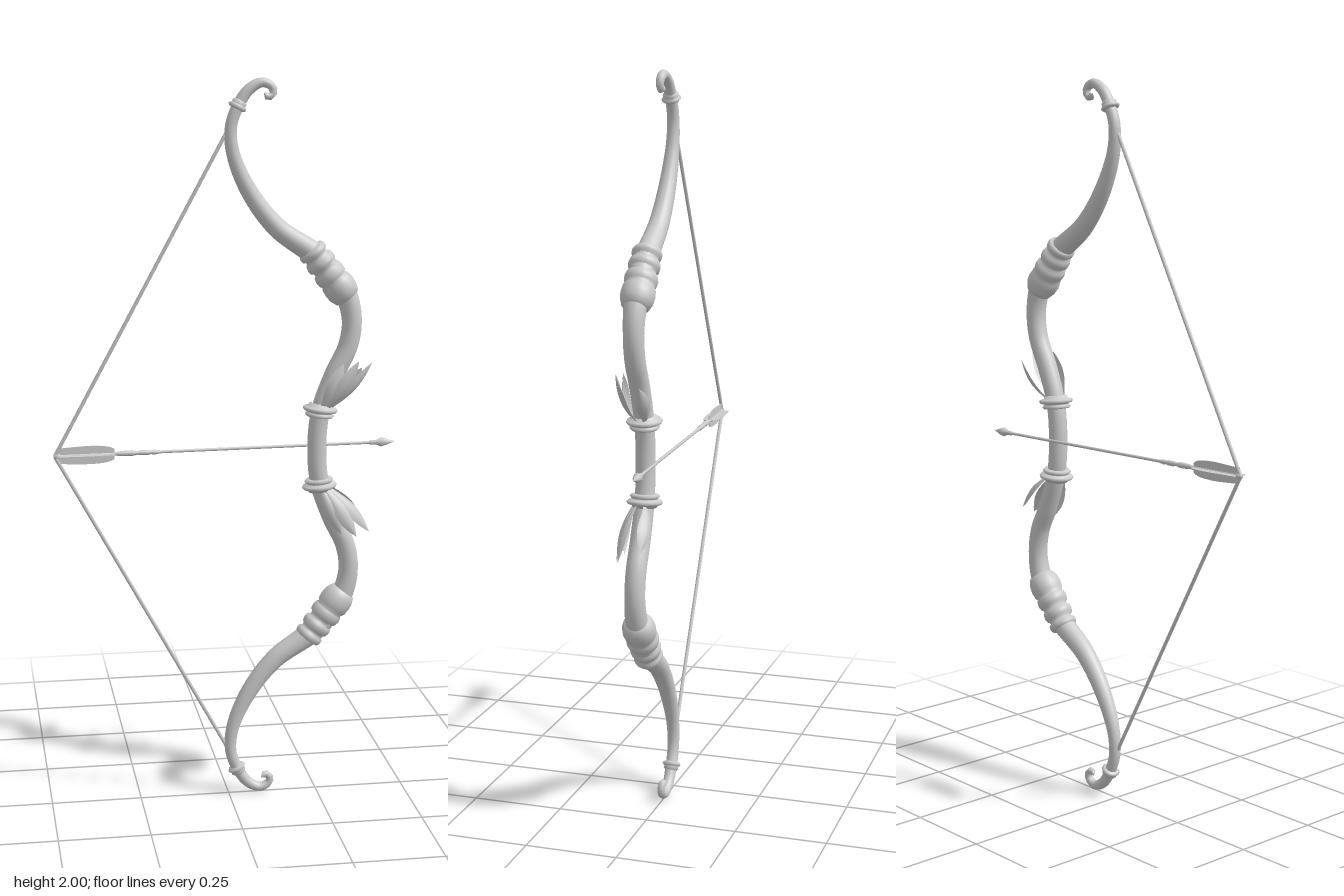
import * as THREE from 'three';

const V = (x, y, z = 0) => new THREE.Vector3(x, y, z);
const UP = V(0, 1);
const grey = new THREE.MeshStandardMaterial({ color: 0xcccccc });
const thin = new THREE.MeshStandardMaterial({ color: 0xcccccc, side: THREE.DoubleSide });

function part(parent, name, geometry, material = grey) {
  const mesh = new THREE.Mesh(geometry, material);
  mesh.name = name;
  parent.add(mesh);
  return mesh;
}

// Copy reflected in the plane y = 1, with the face winding put right again
function mirrored(geometry) {
  const g = geometry.clone().scale(1, -1, 1).translate(0, 2, 0);
  const a = g.index.array;
  for (let i = 0; i < a.length; i += 3) [a[i], a[i + 1]] = [a[i + 1], a[i]];
  g.index.needsUpdate = true;
  return g;
}

function pair(parent, name, geometry, material) {
  part(parent, 'upper' + name, geometry, material);
  part(parent, 'lower' + name, mirrored(geometry), material);
}

// Turned shape, profile [radius, distance], standing at `from` and pointing to `to`
function turned(profile, from, to, sides = 24) {
  const g = new THREE.LatheGeometry(profile.map(([r, d]) => new THREE.Vector2(r, d)), sides);
  const dir = to.clone().sub(from).normalize();
  return g.applyQuaternion(new THREE.Quaternion().setFromUnitVectors(UP, dir))
    .translate(from.x, from.y, from.z);
}

function rod(from, to, r, sides = 8) {
  const len = from.distanceTo(to);
  return turned([[0, 0], [r, 0], [r, len], [0, len]], from, to, sides);
}

// Tube whose radius changes from point to point; rows are [x, y, radius]
function taperedTube(rows, segments, sides) {
  const curve = new THREE.CatmullRomCurve3(rows.map(([x, y]) => V(x, y)));
  const g = new THREE.TubeGeometry(curve, segments, 1, sides);
  const p = g.attributes.position, v = V(0, 0);
  for (let i = 0; i < p.count; i++) {
    const u = Math.floor(i / (sides + 1)) / segments;
    const t = curve.getUtoTmapping(u) * (rows.length - 1);
    const k = Math.min(Math.floor(t), rows.length - 2);
    const r = THREE.MathUtils.lerp(rows[k][2], rows[k + 1][2], t - k);
    const c = curve.getPointAt(u);
    v.fromBufferAttribute(p, i).sub(c).multiplyScalar(r).add(c);
    p.setXYZ(i, v.x, v.y, v.z);
  }
  return g;
}

// Pointed leaf, folded along the midrib and bowed outwards
function leaf(base, tip, out, width) {
  const g = new THREE.PlaneGeometry(2, 1, 4, 10);
  const dir = tip.clone().sub(base);
  const side = dir.clone().cross(out).normalize();
  const normal = side.clone().cross(dir).normalize();
  const p = g.attributes.position;
  for (let i = 0; i < p.count; i++) {
    const u = p.getX(i), t = p.getY(i) + 0.5;
    const w = width * (0.35 * (1 - t) + Math.sin(Math.PI * Math.pow(t, 1.3)) * 0.85);
    const q = base.clone().addScaledVector(dir, t).addScaledVector(side, u * w)
      .addScaledVector(normal, 0.014 * Math.sin(Math.PI * t) - 0.4 * w * u * u);
    p.setXYZ(i, q.x, q.y, q.z);
  }
  g.computeVertexNormals();
  return g;
}

export function createModel() {
  const model = new THREE.Group();
  model.name = 'bowAndArrow';

  // Bow stave: one recurved tube with curled tips
  const half = [
    [0.245, 1.0, 0.026], [0.254, 1.1, 0.026], [0.29, 1.2, 0.027], [0.328, 1.28, 0.027],
    [0.338, 1.35, 0.027], [0.322, 1.42, 0.03], [0.285, 1.475, 0.032], [0.235, 1.53, 0.032],
    [0.13, 1.605, 0.027], [0.056, 1.7, 0.023], [0.012, 1.8, 0.018], [0.006, 1.87, 0.016],
    [0.025, 1.925, 0.016], [0.054, 1.967, 0.015], [0.09, 1.985, 0.013], [0.117, 1.971, 0.011],
    [0.115, 1.95, 0.01], [0.098, 1.95, 0.009], [0.094, 1.958, 0.001],
  ];
  const lower = half.slice(1).reverse().map(([x, y, r]) => [x, 2 - y, r]);
  part(model, 'stave', taperedTube([...lower, ...half], 220, 18));

  // Ringed joints at the bend of each limb
  const joint = [
    [0.026, 0], [0.036, 0.003], [0.043, 0.02], [0.045, 0.038], [0.043, 0.056], [0.037, 0.066],
    [0.042, 0.07], [0.044, 0.083], [0.041, 0.096], [0.034, 0.1], [0.034, 0.11], [0.041, 0.114],
    [0.042, 0.125], [0.039, 0.136], [0.033, 0.14], [0.033, 0.148], [0.039, 0.152],
    [0.04, 0.162], [0.036, 0.17], [0.028, 0.172],
  ];
  pair(model, 'Joint', turned(joint, V(0.326, 1.412), V(0.225, 1.542)));

  // Double collars at the ends of the grip
  const collar = [
    [0.025, 0], [0.036, 0.001], [0.04, 0.006], [0.036, 0.011], [0.033, 0.014], [0.045, 0.017],
    [0.048, 0.022], [0.045, 0.027], [0.034, 0.03], [0.032, 0.036], [0.025, 0.038],
  ];
  pair(model, 'Collar', turned(collar, V(0.251, 1.086), V(0.262, 1.19)));

  // Leaves fanning out from each collar
  const leaves = [
    [V(0.252, 1.11, 0.027), V(0.31, 1.24, 0.038), V(-0.1, 0, 1), 0.019],
    [V(0.264, 1.11, 0.026), V(0.35, 1.246, 0.045), V(0.35, 0, 1), 0.021],
    [V(0.276, 1.11, 0.016), V(0.39, 1.238, 0.028), V(0.8, 0, 0.7), 0.021],
    [V(0.278, 1.11, -0.012), V(0.375, 1.215, -0.026), V(0.8, 0, -0.7), 0.02],
  ];
  for (const args of leaves) pair(model, 'Leaf', leaf(...args), thin);

  // Small collars below the curled tips
  const tipRing = [
    [0.014, 0], [0.022, 0.002], [0.026, 0.007], [0.022, 0.012], [0.019, 0.015],
    [0.021, 0.02], [0.015, 0.026],
  ];
  pair(model, 'TipCollar', turned(tipRing, V(0.02, 1.916), V(0.038, 1.952), 16));

  // Drawn string
  const nock = V(-0.473, 1, 0);
  pair(model, 'String', rod(nock, V(-0.006, 1.856), 0.005));

  // Arrow, built along +x and then swung to pass beside the grip
  const arrow = new THREE.Group();
  arrow.name = 'arrow';
  arrow.position.copy(nock);
  arrow.rotation.y = 0.047;
  model.add(arrow);
  const along = (profile, sides) => turned(profile, V(0, 0), V(1, 0), sides);
  part(arrow, 'shaft', rod(V(0, 0), V(0.9, 0), 0.0042));
  part(arrow, 'nockEnd', rod(V(-0.002, 0), V(0.014, 0), 0.007));
  part(arrow, 'binding', along([
    [0.004, 0.16], [0.007, 0.18], [0.008, 0.21], [0.005, 0.225], [0.007, 0.235],
    [0.007, 0.255], [0.005, 0.262], [0.007, 0.27], [0.004, 0.288],
  ], 10));
  part(arrow, 'arrowhead', along([
    [0.004, 0.875], [0.007, 0.88], [0.006, 0.893], [0.013, 0.91], [0.009, 0.925], [0, 0.95],
  ], 8));

  // Four feather vanes
  const vane = new THREE.Shape();
  vane.moveTo(0.012, 0);
  vane.lineTo(0.004, 0.021);
  vane.lineTo(0.08, 0.025);
  vane.quadraticCurveTo(0.155, 0.026, 0.162, 0.012);
  vane.lineTo(0.162, 0);
  const vaneGeometry = new THREE.ExtrudeGeometry(vane, { depth: 0.003, bevelEnabled: false })
    .translate(0, 0, -0.0015);
  for (let i = 0; i < 4; i++) {
    part(arrow, 'vane', vaneGeometry).rotation.x = i * Math.PI / 2;
  }
  return model;
}
